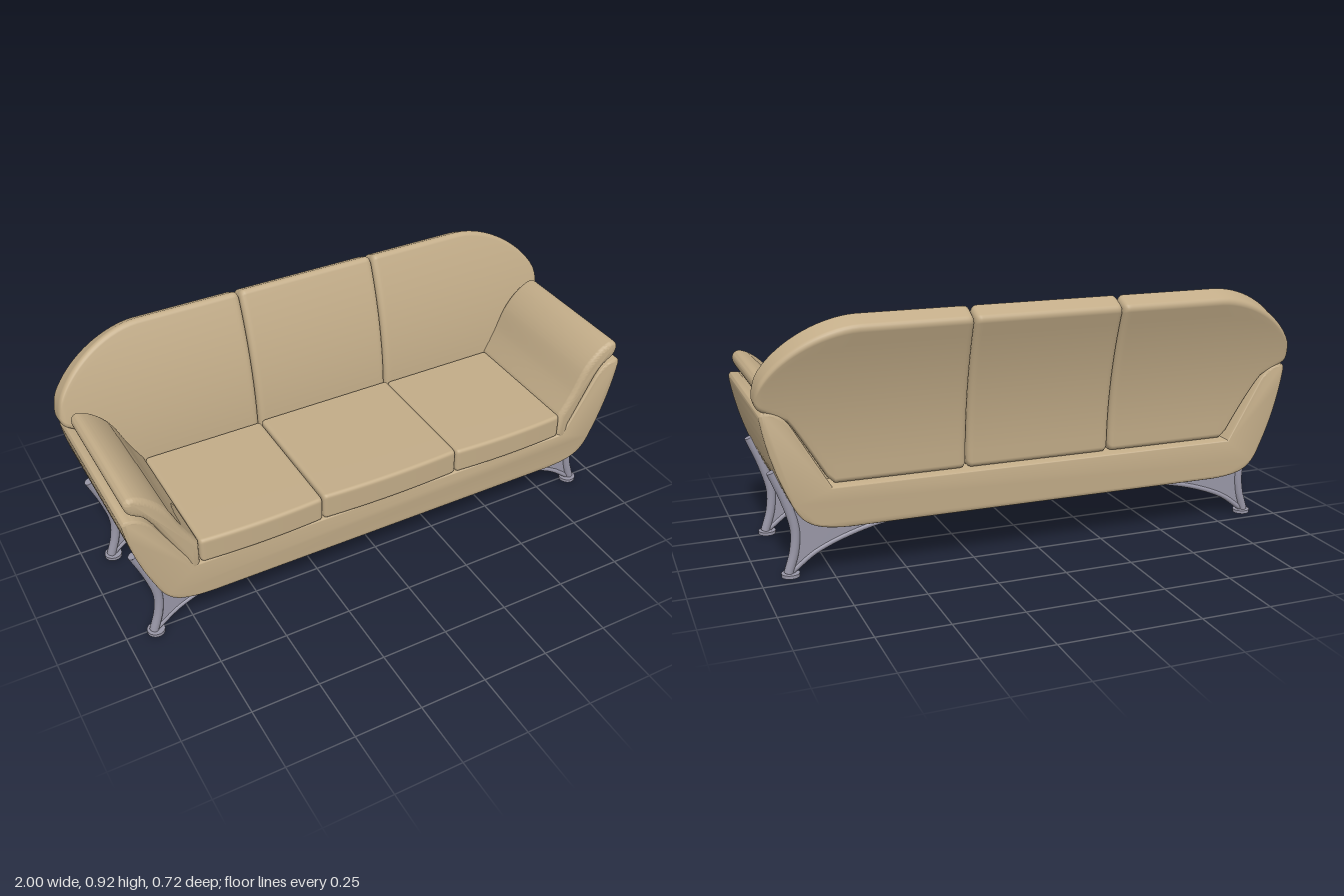
import * as THREE from 'three';
import { toCreasedNormals } from 'three/addons/utils/BufferGeometryUtils.js';

const fabric = new THREE.MeshStandardMaterial({ color: 0xc2ac88 });
fabric.name = 'tan upholstery';
const metal = new THREE.MeshStandardMaterial({ color: 0x9896a6 });
metal.name = 'grey metal';

function add(parent, name, geometry, material) {
  const mesh = new THREE.Mesh(geometry, material);
  mesh.name = name;
  parent.add(mesh);
  return mesh;
}

// Rounded rectangle loop: d is depth from the centre, y is height.
function sectionLoop(h, lo, hi, r) {
  const pts = [];
  const rc = Math.max(0.0005, Math.min(r, (hi - lo) / 2, h));
  const side = 12, arc = 5;
  for (let i = 0; i < side; i++) pts.push([h, lo + rc + (hi - lo - 2 * rc) * i / side]);
  for (let i = 0; i <= arc; i++) {
    const a = i / arc * Math.PI / 2;
    pts.push([h - rc + rc * Math.cos(a), hi - rc + rc * Math.sin(a)]);
  }
  const back = pts.map(([d, y]) => [-d, y]).reverse();
  const upper = [...pts, ...back];
  for (let i = 1; i < 2 * arc + 2; i++) {
    const k = i <= arc ? i : i - 1;
    const a = Math.PI + (k % (arc + 1)) / arc * Math.PI / 2;
    if (i <= arc) upper.push([-h + rc + rc * Math.cos(a), lo + rc + rc * Math.sin(a)]);
    else {
      const b = Math.PI * 1.5 + (i - arc - 1) / arc * Math.PI / 2;
      upper.push([h - rc + rc * Math.cos(b), lo + rc + rc * Math.sin(b)]);
    }
  }
  return upper;
}

// Cushion lofted along x; edges(x) gives bottom and top, place(x, d, y) gives [y, z].
function cushion(x0, x1, h, r, edges, place) {
  const pos = [], index = [], steps = 44;
  let n = 0;
  for (let i = 0; i <= steps; i++) {
    const x = x0 + (x1 - x0) * (1 - Math.cos(Math.PI * i / steps)) / 2;
    const dist = Math.min(x - x0, x1 - x, r);
    const e = r - Math.sqrt(Math.max(0, r * r - (r - dist) ** 2));
    let [lo, hi] = edges(x);
    lo += e;
    hi = Math.max(hi - e, lo + 0.002);
    const loop = sectionLoop(h - e, lo, hi, r);
    n = loop.length;
    for (const [d, y] of loop) {
      const [py, pz] = place(x, d, y);
      pos.push(x, py, pz);
    }
  }
  for (let i = 0; i < steps; i++) for (let j = 0; j < n; j++) {
    const a = i * n + j, c = i * n + (j + 1) % n;
    index.push(a, a + n, c, a + n, c + n, c);
  }
  // End caps
  for (const row of [0, steps]) {
    const centre = pos.length / 3, mid = [0, 0, 0];
    for (let j = 0; j < n; j++) for (let k = 0; k < 3; k++) mid[k] += pos[(row * n + j) * 3 + k] / n;
    pos.push(...mid);
    for (let j = 0; j < n; j++) {
      const a = row * n + j, b = row * n + (j + 1) % n;
      if (row) index.push(centre, b, a); else index.push(centre, a, b);
    }
  }
  const geo = new THREE.BufferGeometry();
  geo.setAttribute('position', new THREE.Float32BufferAttribute(pos, 3));
  geo.setIndex(index);
  geo.computeVertexNormals();
  return geo;
}

// Outline extruded along z with softened edges.
function slab(shape, z0, z1, bevel) {
  const geo = new THREE.ExtrudeGeometry(shape, {
    depth: z1 - z0 - 2 * bevel, curveSegments: 14, bevelEnabled: bevel > 0,
    bevelThickness: bevel, bevelSize: bevel, bevelOffset: -bevel, bevelSegments: 5,
  });
  geo.translate(0, 0, z0 + bevel);
  return toCreasedNormals(geo, 0.7);
}

const vecs = (pts) => pts.map(([x, y]) => new THREE.Vector2(x, y));

// Capped round bar along a planar curve.
function bar(parent, name, pts, radius) {
  const curve = new THREE.CatmullRomCurve3(pts.map(([x, y]) => new THREE.Vector3(x, y, 0)));
  add(parent, name, new THREE.TubeGeometry(curve, 28, radius, 16), metal);
  for (const t of [0, 1]) {
    const cap = add(parent, name + 'Cap', new THREE.CircleGeometry(radius, 16), metal);
    cap.position.copy(curve.getPoint(t));
    const dir = curve.getTangent(t).multiplyScalar(t ? 1 : -1);
    cap.quaternion.setFromUnitVectors(new THREE.Vector3(0, 0, 1), dir);
  }
}

function makeLeg() {
  const leg = new THREE.Group();
  const post = [[0.942, 0.38], [0.9, 0.275], [0.872, 0.17], [0.877, 0.09], [0.9, 0.012]];
  const brace = [[0.885, 0.018], [0.8, 0.08], [0.65, 0.138], [0.5, 0.168], [0.35, 0.176]];
  bar(leg, 'legPost', post, 0.0165);
  bar(leg, 'legBrace', brace, 0.01);
  // Web plate between post, brace and frame
  const web = new THREE.Shape();
  web.moveTo(0.35, 0.176);
  web.splineThru(vecs(brace.slice(0, 4).reverse()));
  web.lineTo(0.877, 0.09);
  web.lineTo(0.872, 0.17);
  web.lineTo(0.895, 0.265);
  web.lineTo(0.84, 0.24);
  web.lineTo(0.7, 0.195);
  web.lineTo(0.35, 0.192);
  add(leg, 'legWeb', slab(web, -0.005, 0.005, 0), metal);
  const foot = add(leg, 'foot', new THREE.CylinderGeometry(0.032, 0.032, 0.012, 28), metal);
  foot.position.set(0.893, 0.006, 0);
  return leg;
}

// Armrest pad outline on the +x side
function armShape(s) {
  const p = (pts) => vecs(pts.map(([x, y]) => [x * s, y]));
  const shape = new THREE.Shape();
  shape.moveTo(0.737 * s, 0.3);
  shape.lineTo(0.737 * s, 0.425);
  shape.splineThru(p([[0.785, 0.505], [0.835, 0.605], [0.89, 0.665], [0.945, 0.692],
    [0.972, 0.672], [0.96, 0.632], [0.915, 0.6], [0.885, 0.56]]));
  shape.lineTo(0.785 * s, 0.37);
  shape.lineTo(0.785 * s, 0.3);
  return shape;
}

export function createModel() {
  const sofa = new THREE.Group();
  sofa.name = 'sofa';

  // Boat-shaped frame
  const shell = new THREE.Shape();
  shell.moveTo(-0.7, 0.187);
  shell.lineTo(0.7, 0.187);
  shell.bezierCurveTo(0.83, 0.192, 0.865, 0.215, 0.9, 0.3);
  shell.quadraticCurveTo(0.965, 0.44, 0.988, 0.59);
  shell.quadraticCurveTo(0.99, 0.612, 0.972, 0.612);
  shell.quadraticCurveTo(0.92, 0.61, 0.885, 0.555);
  shell.lineTo(0.757, 0.335);
  shell.lineTo(-0.757, 0.335);
  shell.lineTo(-0.885, 0.555);
  shell.quadraticCurveTo(-0.92, 0.61, -0.972, 0.612);
  shell.quadraticCurveTo(-0.99, 0.612, -0.988, 0.59);
  shell.quadraticCurveTo(-0.965, 0.44, -0.9, 0.3);
  shell.bezierCurveTo(-0.865, 0.215, -0.83, 0.192, -0.7, 0.187);
  add(sofa, 'frame', slab(shell, -0.283, 0.356, 0.01), fabric);

  // Three seat cushions and three back cushions
  const spans = [['right', -0.735, -0.274, -1], ['middle', -0.271, 0.271, -0.271], ['left', 0.274, 0.735, 1]];
  const backEdges = (x) => {
    const a = Math.abs(x);
    const u = THREE.MathUtils.clamp((a - 0.66) / 0.34, 0, 1);
    const hi = 0.68 + 0.237 * Math.pow(1 - Math.pow(u, 1.8), 0.65);
    const lo = a < 0.75 ? 0.335 : a < 0.89 ? 0.335 + (a - 0.75) * 1.68 : 0.57 + (a - 0.89) * 0.55;
    return [lo, hi];
  };
  const backPlace = (x, d, y) => {
    const lean = THREE.MathUtils.clamp((y - 0.5) / 0.4, 0, 1);
    const py = y + (d - 0.025) * 0.42 * lean;
    return [py, -0.205 - 0.37 * (py - 0.335) ** 2 + d];
  };
  for (const [side, x0, x1] of spans) {
    const mid = (x0 + x1) / 2, half = (x1 - x0) / 2;
    const seatPlace = (x, d, y) => {
      const bulge = 1 - ((x - mid) / half) ** 2;
      return [y, 0.1 + d + (d > 0.2 ? 0.009 * bulge : 0)];
    };
    const top = side === 'middle' ? 0.436 : 0.43;
    add(sofa, side + 'SeatCushion', cushion(x0, x1, 0.255, 0.013, () => [0.333, top], seatPlace), fabric);
    const b0 = side === 'right' ? -1 : x0, b1 = side === 'left' ? 1 : x1;
    add(sofa, side + 'BackCushion', cushion(b0, b1, 0.047, 0.02, backEdges, backPlace), fabric);
  }

  // Armrests
  for (const [side, s] of [['left', 1], ['right', -1]]) {
    add(sofa, side + 'Armrest', slab(armShape(s), -0.185, 0.355, 0.02), fabric);
  }

  // Four legs
  for (const [end, z] of [['front', 0.26], ['back', -0.182]]) {
    for (const [side, turn] of [['Left', 0], ['Right', Math.PI]]) {
      const leg = makeLeg();
      leg.name = end + side + 'Leg';
      leg.rotation.y = turn;
      leg.position.z = z;
      sofa.add(leg);
    }
  }
  return sofa;
}
